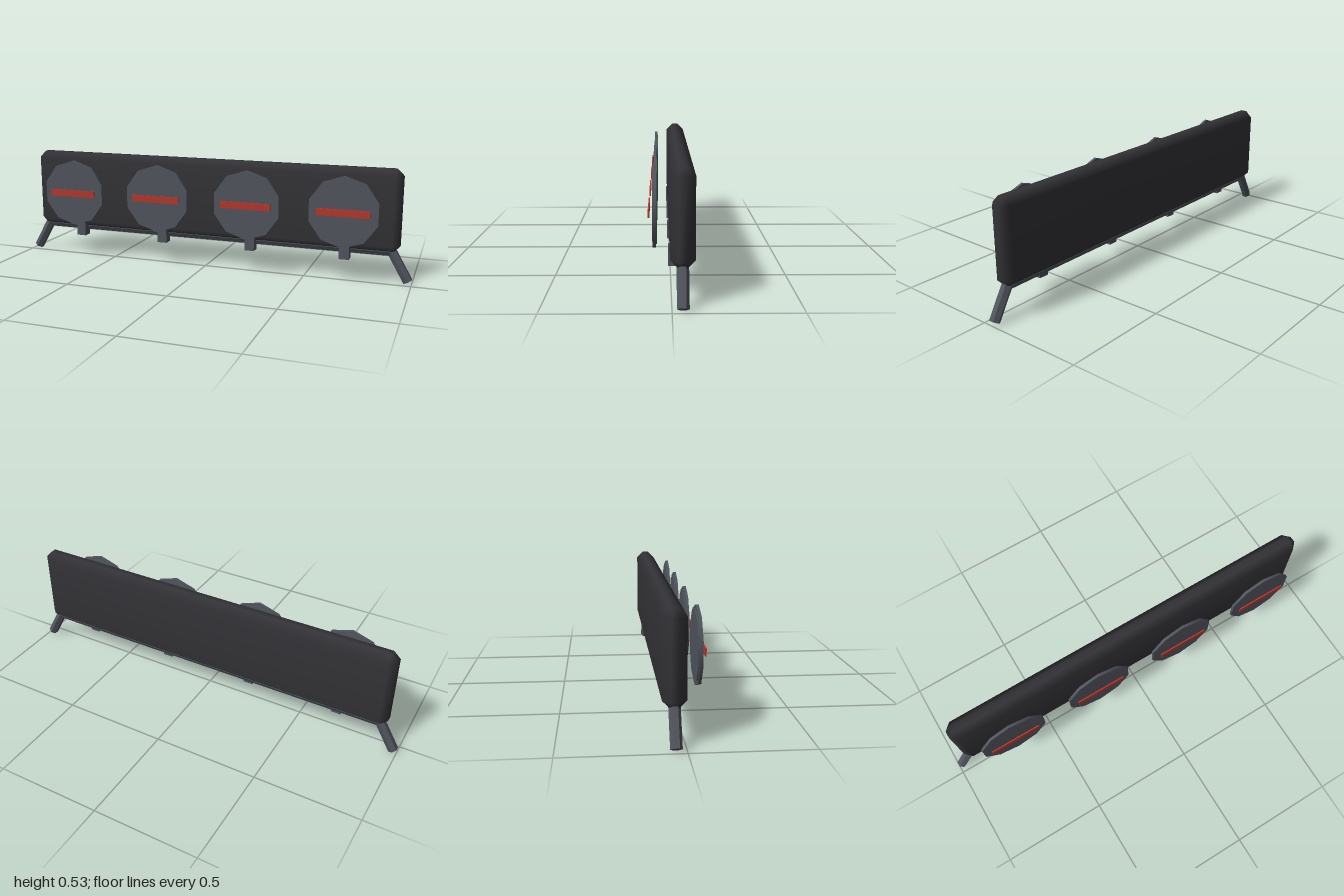
import * as THREE from 'three';
import { mergeVertices } from 'three/addons/utils/BufferGeometryUtils.js';
import { ConvexGeometry } from 'three/addons/geometries/ConvexGeometry.js';

const material = (name, color) => {
  const m = new THREE.MeshStandardMaterial({ color });
  m.name = name;
  return m;
};

// Box with a single 45 degree chamfer on every edge and softened normals
function chamferedBox(w, h, d, c) {
  const points = [];
  for (const sx of [-1, 1]) for (const sy of [-1, 1]) for (const sz of [-1, 1]) {
    for (let axis = 0; axis < 3; axis++) {
      const half = [w / 2 - c, h / 2 - c, d / 2 - c];
      half[axis] += c;
      points.push(new THREE.Vector3(sx * half[0], sy * half[1], sz * half[2]));
    }
  }
  const hull = new ConvexGeometry(points);
  hull.deleteAttribute('normal');
  const geometry = mergeVertices(hull, 1e-4);
  geometry.computeVertexNormals();
  return geometry;
}

// Hexagonal bar swept along a path in the xy plane, with mitred bends and capped ends
function mitredBar(path, radius) {
  const sides = 6;
  const rings = path.map((p, i) => {
    const a = path[Math.max(i - 1, 0)], b = path[Math.min(i + 1, path.length - 1)];
    const before = (i ? p.clone().sub(a) : b.clone().sub(p)).normalize();
    const after = (i < path.length - 1 ? b.clone().sub(p) : p.clone().sub(a)).normalize();
    const n1 = new THREE.Vector2(-before.y, before.x);
    const n2 = new THREE.Vector2(-after.y, after.x);
    const n = n1.clone().add(n2).normalize();
    n.divideScalar(n.dot(n1));
    return Array.from({ length: sides }, (_, k) => {
      const t = (k / sides) * Math.PI * 2, u = Math.sin(t) * radius;
      return [p.x + n.x * u, p.y + n.y * u, Math.cos(t) * radius];
    });
  });
  const out = [];
  const tri = (...corners) => corners.forEach((v) => out.push(...v));
  for (let i = 0; i < rings.length - 1; i++) {
    for (let k = 0; k < sides; k++) {
      const l = (k + 1) % sides, r = rings[i], s = rings[i + 1];
      tri(r[k], s[k], s[l]);
      tri(r[k], s[l], r[l]);
    }
  }
  const first = rings[0], last = rings[rings.length - 1];
  for (let k = 1; k < sides - 1; k++) {
    tri(first[0], first[k], first[k + 1]);
    tri(last[0], last[k + 1], last[k]);
  }
  const geometry = new THREE.BufferGeometry();
  geometry.setAttribute('position', new THREE.Float32BufferAttribute(out, 3));
  geometry.computeVertexNormals();
  return geometry;
}

export function createModel() {
  const model = new THREE.Group();
  model.name = 'lightBar';
  const charcoal = material('charcoal', 0x333236);
  const slate = material('slate', 0x50545c);
  const red = material('red', 0xb5382c);

  const add = (parent, name, geometry, mat, x, y, z) => {
    const mesh = new THREE.Mesh(geometry, mat);
    mesh.name = name;
    mesh.position.set(x, y, z);
    parent.add(mesh);
    return mesh;
  };

  // Main panel
  add(model, 'panel', chamferedBox(1.88, 0.39, 0.097, 0.033), charcoal, 0, 0.34, -0.042);

  // Bottom rail that bends down into the two splayed legs
  const path = [[-0.982, 0.011], [-0.902, 0.15], [0.902, 0.15], [0.982, 0.011]]
    .map(([x, y]) => new THREE.Vector2(x, y));
  add(model, 'railAndLegs', mitredBar(path, 0.024), slate, 0, 0, -0.042);

  // Ten-sided discs facing forward, a vertex at the top
  const disc = (radius, depth) => {
    const g = new THREE.CylinderGeometry(radius, radius, depth, 10);
    return g.rotateX(Math.PI / 2);
  };
  const faceGeometry = disc(0.167, 0.013);
  const lipGeometry = disc(0.152, 0.005);
  const barGeometry = new THREE.BoxGeometry(0.246, 0.033, 0.006);
  const blockGeometry = new THREE.BoxGeometry(0.048, 0.082, 0.048);

  // Four identical units: disc, back lip, red bar and mounting block
  for (let i = 0; i < 4; i++) {
    const unit = new THREE.Group();
    unit.name = 'unit' + (i + 1);
    unit.position.x = -0.69 + i * 0.46;
    model.add(unit);
    add(unit, 'disc', faceGeometry, slate, 0, 0.34, 0.0685);
    add(unit, 'discBackLip', lipGeometry, slate, 0, 0.34, 0.0602);
    add(unit, 'redBar', barGeometry, red, 0, 0.34, 0.089);
    add(unit, 'mountBlock', blockGeometry, slate, 0, 0.144, -0.012);
  }

  return model;
}
